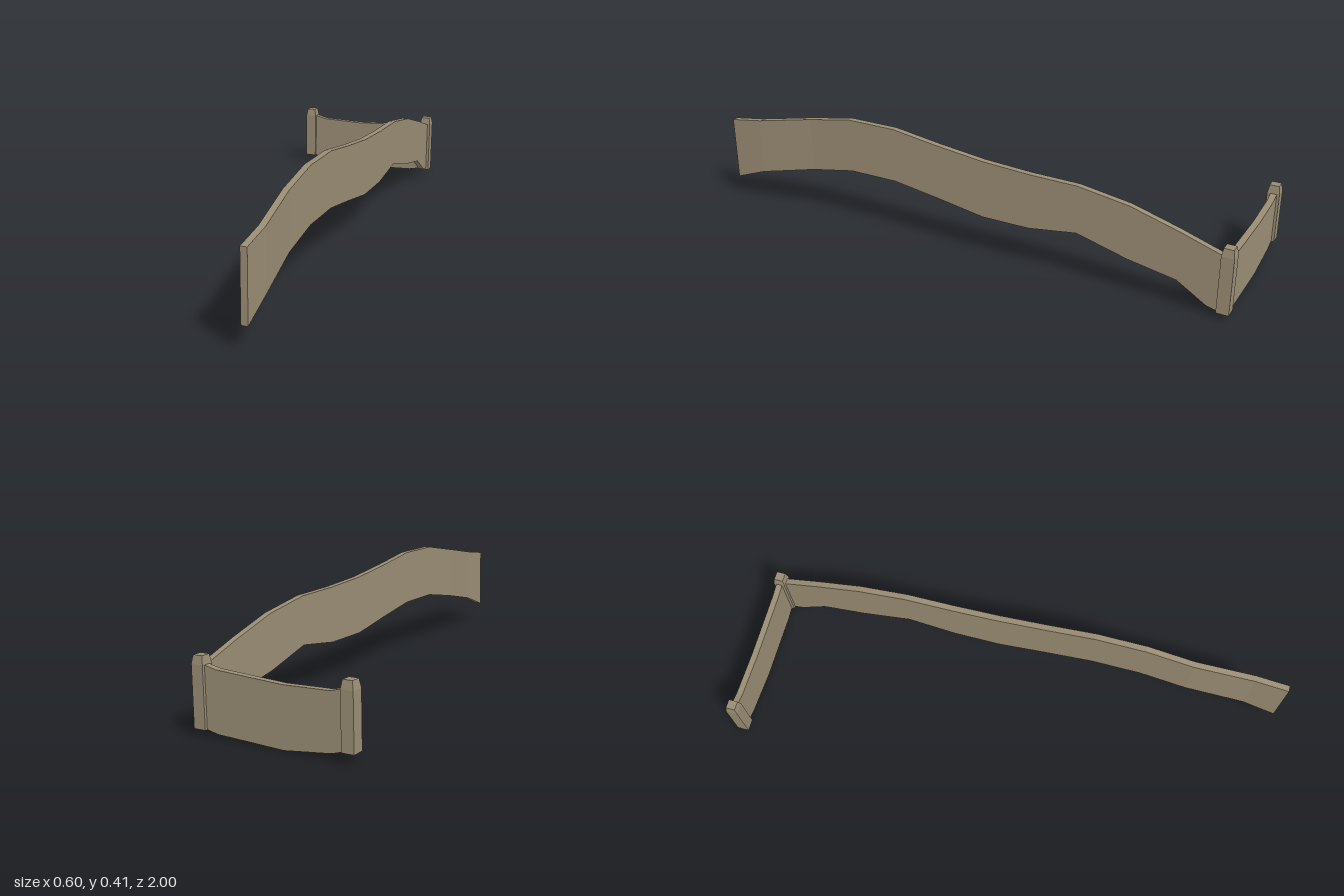
import * as THREE from 'three';

const stone = new THREE.MeshStandardMaterial({ color: 0x9a8d74 });
stone.name = 'weathered stone';

// Skin a row of four-cornered rings (each ring counter-clockwise seen from the end of the row)
function loft(rings) {
  const pos = [];
  const quad = (a, b, c, d) => pos.push(...a, ...b, ...c, ...a, ...c, ...d);
  for (let i = 0; i < rings.length - 1; i++) {
    const p = rings[i], q = rings[i + 1];
    for (let k = 0; k < 4; k++) {
      const n = (k + 1) % 4;
      quad(p[k], p[n], q[n], q[k]);
    }
  }
  const first = rings[0], last = rings[rings.length - 1];
  quad(first[3], first[2], first[1], first[0]);
  quad(last[0], last[1], last[2], last[3]);
  const g = new THREE.BufferGeometry();
  g.setAttribute('position', new THREE.Float32BufferAttribute(pos, 3));
  g.computeVertexNormals();
  return g;
}

function addMesh(group, name, geometry) {
  const mesh = new THREE.Mesh(geometry, stone);
  mesh.name = name;
  group.add(mesh);
}

// Square post with a slightly tapered cap
function post(x, z, half, y0, shoulder, y1) {
  const ring = (h, y) => [
    [x - h, y, z + h], [x + h, y, z + h], [x + h, y, z - h], [x - h, y, z - h],
  ];
  return loft([ring(half, y0), ring(half, shoulder), ring(half - 0.005, y1)]);
}

export function createModel() {
  const group = new THREE.Group();
  group.name = 'cornerWall';
  const t = 0.0115; // half wall thickness

  // Long wall: z, centre x, bottom, top
  const longSections = [
    [-0.978, 0.266, 0.023, 0.228],
    [-0.955, 0.266, 0.024, 0.23],
    [-0.92, 0.266, 0.033, 0.241],
    [-0.815, 0.266, 0.099, 0.276],
    [-0.64, 0.266, 0.131, 0.327],
    [-0.455, 0.266, 0.181, 0.356],
    [-0.275, 0.266, 0.155, 0.359],
    [-0.095, 0.266, 0.155, 0.369],
    [0.09, 0.266, 0.186, 0.391],
    [0.27, 0.266, 0.213, 0.417],
    [0.46, 0.266, 0.213, 0.417],
    [0.64, 0.266, 0.18, 0.385],
    [0.87, 0.288, 0.13, 0.344],
    [1, 0.289, 0.083, 0.325],
  ];
  addMesh(group, 'longWall', loft(longSections.map(([z, x, b, h]) => [
    [x - t, b, z], [x + t, b, z], [x + t, h, z], [x - t, h, z],
  ])));

  // Short wall between the posts: x, bottom, top
  const shortSections = [
    [-0.262, 0.033, 0.221],
    [-0.215, 0.02, 0.209],
    [-0.13, 0.011, 0.207],
    [-0.047, 0.002, 0.205],
    [0.08, 0.008, 0.212],
    [0.2, 0.013, 0.219],
    [0.25, 0.024, 0.23],
  ];
  const zc = -0.979;
  addMesh(group, 'shortWall', loft(shortSections.map(([x, b, h]) => [
    [x, b, zc + t], [x, b, zc - t], [x, h, zc - t], [x, h, zc + t],
  ])));

  addMesh(group, 'endPost', post(-0.279, -0.978, 0.022, 0.032, 0.221, 0.25));
  addMesh(group, 'cornerPost', post(0.266, -0.978, 0.022, 0.022, 0.23, 0.258));
  return group;
}
